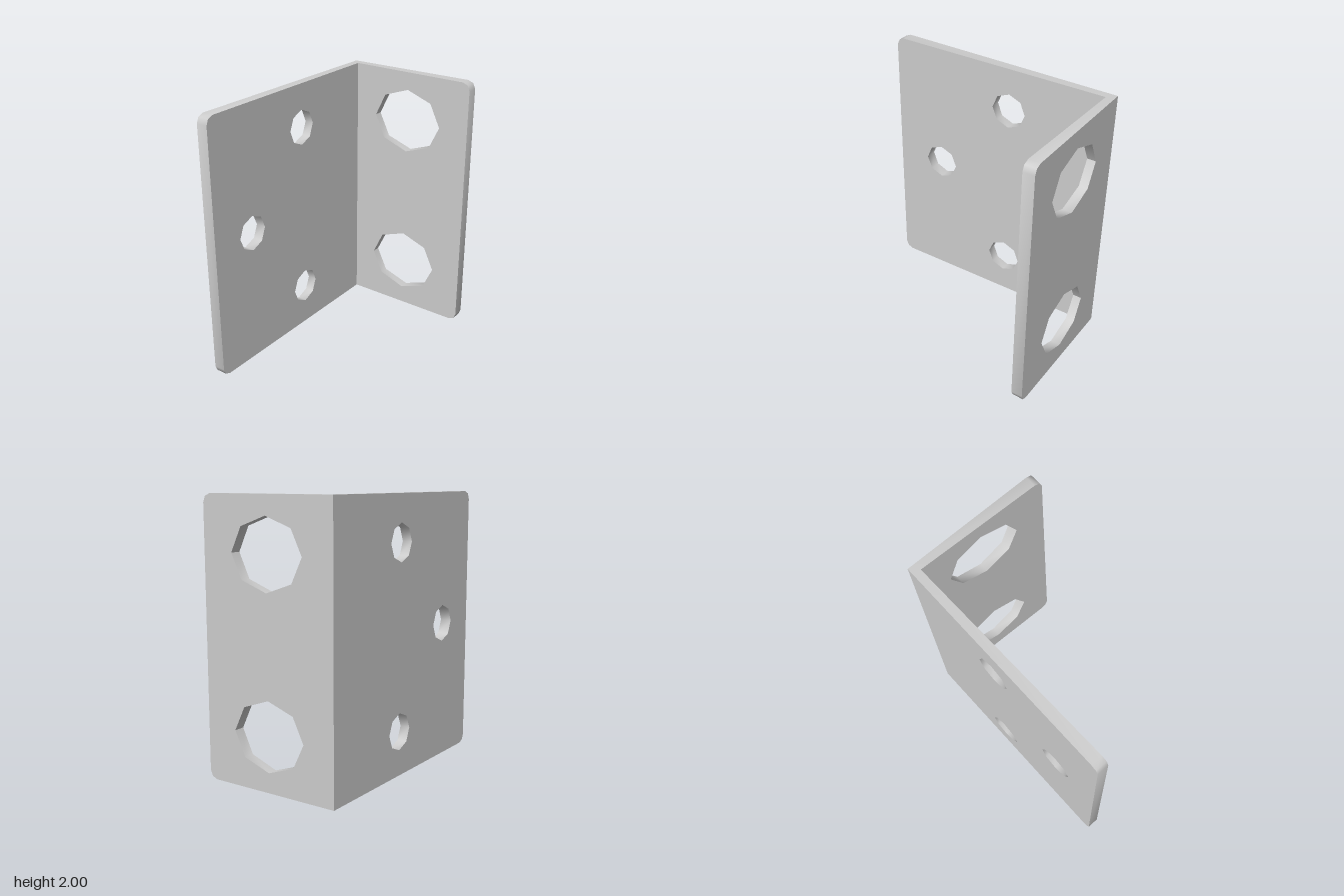
import * as THREE from 'three';
import { toCreasedNormals } from 'three/addons/utils/BufferGeometryUtils.js';

const HALF_X = 0.897, HALF_Z = 0.537, HEIGHT = 2;
const ROOT = 0.06, TIP = 0.087; // wall thickness at the bend and at the free edge
const RADIUS = 0.06;

// Flat plate from the bend (s = bend) to a free edge with rounded corners (s = free).
// Holes are [s, y, radius along s, radius along y]; thickness grows along +z.
function plateGeometry(bend, free, holes) {
  const dir = Math.sign(free - bend), length = Math.abs(free - bend);
  const shape = new THREE.Shape();
  shape.moveTo(bend, 0);
  for (const [cy, start] of [[RADIUS, -Math.PI / 2], [HEIGHT - RADIUS, 0]]) {
    for (let i = 0; i <= 2; i++) {
      const a = start + i * Math.PI / 4;
      shape.lineTo(free + dir * RADIUS * (Math.cos(a) - 1), cy + RADIUS * Math.sin(a));
    }
  }
  shape.lineTo(bend, HEIGHT);
  shape.closePath();

  // Eight-sided holes
  for (const [s, y, rs, ry] of holes) {
    const points = [];
    for (let i = 0; i < 8; i++) {
      const a = i * Math.PI / 4;
      points.push(new THREE.Vector2(s + rs * Math.cos(a), y + ry * Math.sin(a)));
    }
    shape.holes.push(new THREE.Path(points));
  }

  const source = new THREE.ExtrudeGeometry(shape, { depth: 1, bevelEnabled: false });
  const flat = source.index ? source.toNonIndexed() : source;
  const p = flat.attributes.position;
  const kept = [];
  for (let t = 0; t < p.count; t += 3) {
    const corners = [t, t + 1, t + 2];
    // Leave out the hidden wall inside the mitred bend
    if (corners.every((i) => Math.abs(p.getX(i) - bend) < 1e-5)) continue;
    for (const i of corners) {
      let s = p.getX(i), w = 0;
      if (p.getZ(i) > 0.5) {
        // Inner face: mitre at the bend, then taper towards the free edge
        const d = Math.max(Math.abs(s - bend), ROOT);
        s = bend + dir * d;
        w = ROOT + (TIP - ROOT) * (d - ROOT) / (length - ROOT);
      }
      kept.push(s, p.getY(i), w);
    }
  }
  const geometry = new THREE.BufferGeometry();
  geometry.setAttribute('position', new THREE.Float32BufferAttribute(kept, 3));
  return toCreasedNormals(geometry, 0.9);
}

export function createModel() {
  const group = new THREE.Group();
  group.name = 'angleBracket';
  const material = new THREE.MeshStandardMaterial({ color: 0xcccccc });

  // Wide back plate with three screw holes
  const back = new THREE.Mesh(plateGeometry(HALF_X, -HALF_X, [
    [0.095, 1.665, 0.136, 0.136],
    [-0.505, 1.025, 0.136, 0.136],
    [0.097, 0.325, 0.136, 0.136],
  ]), material);
  back.name = 'backPlate';
  back.position.z = -HALF_Z;

  // Narrow side plate with two large oval holes
  const side = new THREE.Mesh(plateGeometry(-HALF_Z, HALF_Z, [
    [0, 1.612, 0.295, 0.25],
    [0, 0.392, 0.295, 0.25],
  ]), material);
  side.name = 'sidePlate';
  side.rotation.y = -Math.PI / 2;
  side.position.x = HALF_X;

  group.add(back, side);
  return group;
}
